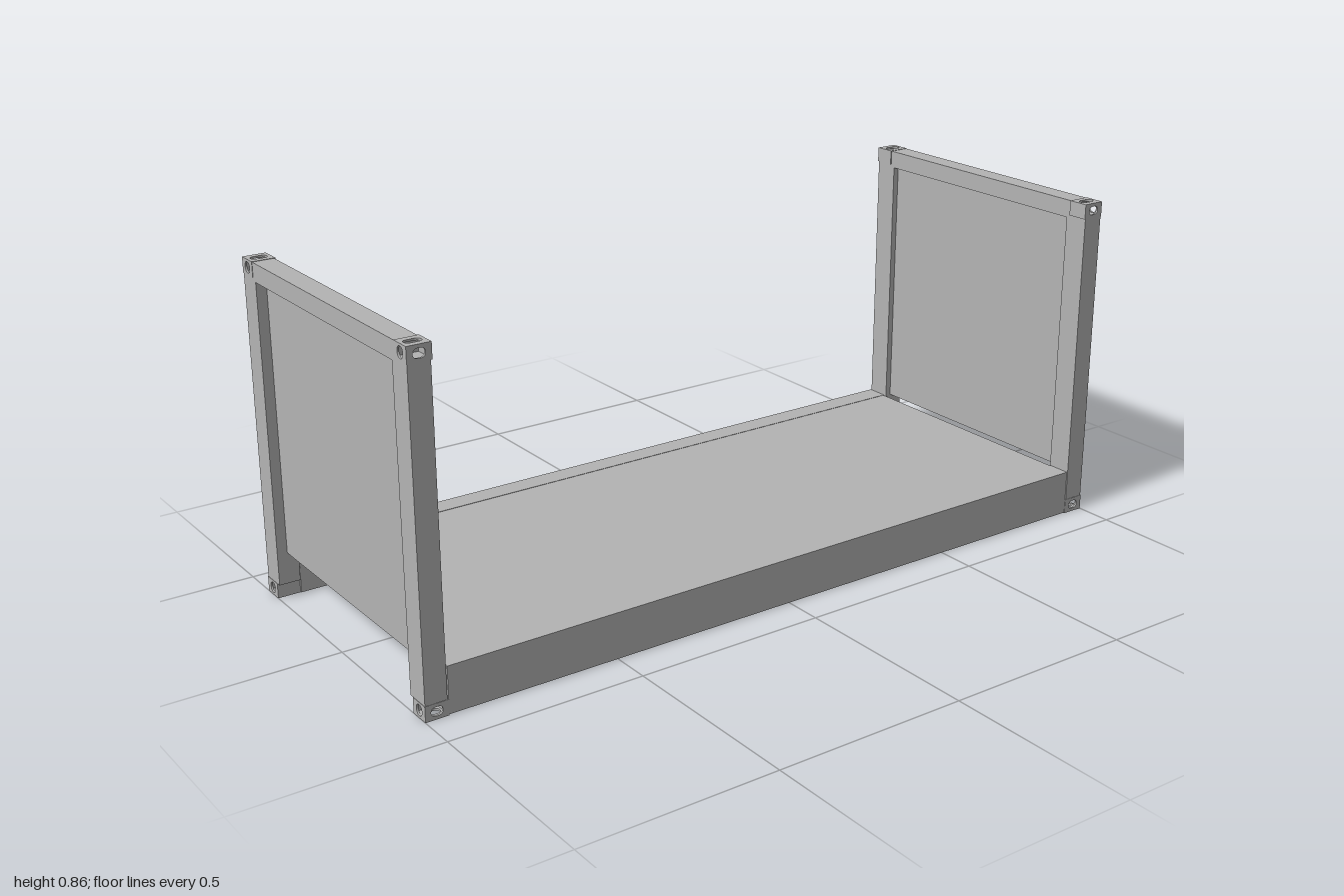
import * as THREE from 'three';

const HX = 1, HZ = 0.403, H = 0.855;             // half length, half width, height
const CW = 0.059, CH = 0.039, CD = 0.054;        // corner casting size
const T = 0.005;                                 // casting wall

export function createModel() {
  const steel = new THREE.MeshStandardMaterial({ color: 0xb4b4b4 });
  steel.name = 'grey steel';
  const model = new THREE.Group();
  model.name = 'flatRack';

  // Box given by its minimum and maximum corners
  function box(name, x0, x1, y0, y1, z0, z1) {
    const mesh = new THREE.Mesh(new THREE.BoxGeometry(x1 - x0, y1 - y0, z1 - z0), steel);
    mesh.name = name;
    mesh.position.set((x0 + x1) / 2, (y0 + y1) / 2, (z0 + z1) / 2);
    model.add(mesh);
  }
  // Same box, mirrored to the chosen ends and sides
  function mirrored(name, sx, sz, x0, x1, y0, y1, z0, z1) {
    const [a, b] = sx > 0 ? [x0, x1] : [-x1, -x0];
    const [c, d] = sz > 0 ? [z0, z1] : [-z1, -z0];
    box(name, a, b, y0, y1, c, d);
  }

  // Thin wall with an optional rounded slot, centred on the origin
  function wall(w, h, slotW, slotH) {
    const s = new THREE.Shape();
    s.moveTo(-w / 2, -h / 2).lineTo(w / 2, -h / 2).lineTo(w / 2, h / 2).lineTo(-w / 2, h / 2).closePath();
    if (slotW) {
      const r = Math.min(slotW, slotH) / 2, a = slotW / 2 - r, b = slotH / 2 - r;
      const hole = new THREE.Path();
      const q = Math.PI / 2;
      hole.absarc(a, b, r, 0, q).absarc(-a, b, r, q, 2 * q)
        .absarc(-a, -b, r, 2 * q, 3 * q).absarc(a, -b, r, 3 * q, 4 * q);
      s.holes.push(hole);
    }
    return new THREE.ExtrudeGeometry(s, { depth: T, bevelEnabled: false, curveSegments: 6 }).translate(0, 0, -T / 2);
  }

  // Hollow corner casting, slotted on its three outer faces
  function cornerCasting(sx, sy, sz) {
    const g = new THREE.Group();
    g.name = 'cornerCasting';
    const add = (name, geo, x, y, z) => {
      const m = new THREE.Mesh(geo, steel);
      m.name = name;
      m.position.set(x, y, z);
      g.add(m);
    };
    for (const outer of [1, -1]) {
      const n = outer > 0 ? 1 : 0;
      const kind = n ? 'slotted' : 'inner';
      add(kind + 'EndWall', wall(CD, CH - 2 * T, n * 0.025, n * 0.0275).rotateY(Math.PI / 2),
        sx * outer * (CW - T) / 2, 0, 0);
      add(kind + 'LevelWall', wall(CW, CD, n * 0.041, n * 0.022).rotateX(Math.PI / 2),
        0, sy * outer * (CH - T) / 2, 0);
      add(kind + 'SideWall', wall(CW - 2 * T, CH - 2 * T, n * 0.03, n * 0.022),
        0, 0, sz * outer * (CD - T) / 2);
    }
    g.position.set(sx * (HX - CW / 2), sy > 0 ? H - CH / 2 : CH / 2, sz * (HZ - CD / 2));
    model.add(g);
  }

  // Deck between the side rails
  box('floor', -0.94, 0.94, 0.105, 0.118, -0.344, 0.344);

  for (const sz of [1, -1]) {
    mirrored('sideRail', 1, sz, -0.941, 0.941, 0.002, 0.119, 0.343, 0.402);
    for (const sx of [1, -1]) {
      mirrored('cornerPost', sx, sz, 0.944, 0.999, CH, H - CH, 0.337, 0.402);
      cornerCasting(sx, 1, sz);
      cornerCasting(sx, -1, sz);
    }
  }

  // End walls: top rail and recessed panel
  for (const sx of [1, -1]) {
    mirrored('topRail', sx, 1, 0.944, 0.999, 0.808, 0.854, -0.349, 0.349);
    mirrored('endPanel', sx, 1, 0.96, 0.973, 0.119, 0.81, -0.34, 0.34);
    // Top rail flange filling the post head under each casting
    for (const sz of [1, -1])
      mirrored('postHead', sx, sz, 0.944, 0.999, 0.8, H - CH, 0.337, 0.402);
  }
  return model;
}
